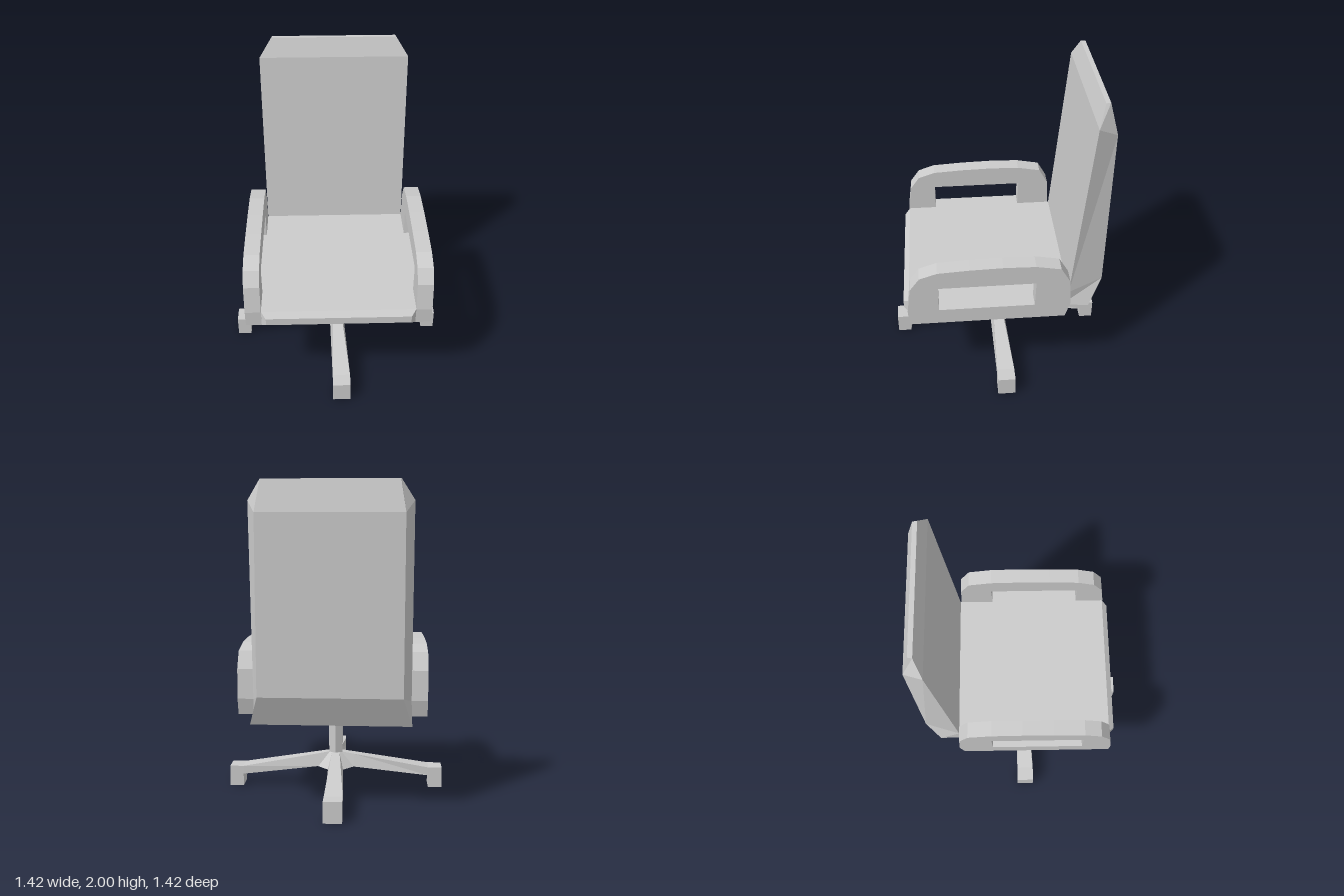
import * as THREE from 'three';

const material = new THREE.MeshStandardMaterial({ color: 0xcccccc, flatShading: true });

function part(name, geometry, parent) {
  const mesh = new THREE.Mesh(geometry, material);
  mesh.name = name;
  parent.add(mesh);
  return mesh;
}

// Joins rings of corners (counterclockwise seen from the last ring) and caps both ends.
function loft(rings) {
  const out = [];
  const tri = (a, b, c) => out.push(...a, ...b, ...c);
  const n = rings[0].length;
  for (let r = 0; r < rings.length - 1; r++) {
    for (let i = 0; i < n; i++) {
      const j = (i + 1) % n;
      tri(rings[r][i], rings[r][j], rings[r + 1][j]);
      tri(rings[r][i], rings[r + 1][j], rings[r + 1][i]);
    }
  }
  const first = rings[0], last = rings[rings.length - 1];
  for (let i = 1; i < n - 1; i++) {
    tri(first[0], first[i + 1], first[i]);
    tri(last[0], last[i], last[i + 1]);
  }
  const g = new THREE.BufferGeometry();
  g.setAttribute('position', new THREE.Float32BufferAttribute(out, 3));
  g.computeVertexNormals();
  return g;
}

// Four-cornered section facing +z: bottom and top heights with their half widths.
const section = (z, y0, w0, y1, w1, cx = 0) =>
  [[cx + w0, y0, z], [cx + w1, y1, z], [cx - w1, y1, z], [cx - w0, y0, z]];

// Horizontal row of the backrest: front edge and back edge, each [z, y, half width].
const row = ([zf, yf, wf], [zb, yb, wb]) =>
  [[wf, yf, zf], [wb, yb, zb], [-wb, yb, zb], [-wf, yf, zf]];

export function createModel() {
  const chair = new THREE.Group();
  chair.name = 'officeChair';

  // Seat cushion with a bevelled front
  part('seat', loft([
    section(-0.43, 0.575, 0.485, 0.685, 0.485),
    section(0.59, 0.575, 0.485, 0.685, 0.485),
    section(0.625, 0.605, 0.455, 0.655, 0.455),
  ]), chair);

  // Tall backrest, tapering upward with clipped corners
  part('backrest', loft([
    row([-0.39, 0.575, 0.485], [-0.565, 0.555, 0.485]),
    row([-0.43, 0.68, 0.485], [-0.65, 0.74, 0.43]),
    row([-0.53, 1.88, 0.485], [-0.65, 1.81, 0.43]),
    row([-0.572, 2.0, 0.405], [-0.6, 2.0, 0.4]),
  ]), chair);

  // Armrests: a rounded side profile with a window
  const points = (list) => list.map(([z, y]) => new THREE.Vector2(z, y));
  const profile = new THREE.Shape(points([
    [0.59, 0.575], [0.595, 0.685], [0.57, 0.865], [0.51, 0.95], [0.4, 0.988], [0.2, 1.0], [0, 1.005],
    [-0.2, 1.0], [-0.355, 0.97], [-0.415, 0.865], [-0.425, 0.68], [-0.395, 0.575],
  ]));
  profile.holes.push(new THREE.Path(points([
    [0.4, 0.685], [0.4, 0.865], [-0.205, 0.865], [-0.2, 0.685],
  ])));
  const armGeometry = new THREE.ExtrudeGeometry(profile, { depth: 0.1, bevelEnabled: false });
  armGeometry.rotateY(-Math.PI / 2);
  part('leftArmrest', armGeometry, chair).position.x = 0.585;
  part('rightArmrest', armGeometry, chair).position.x = -0.485;

  // Base: column, flared hub and four legs
  const base = new THREE.Group();
  base.name = 'base';
  chair.add(base);
  part('column', new THREE.CylinderGeometry(0.057, 0.05, 0.37, 6), base).position.y = 0.4;
  const hub = part('hub', new THREE.CylinderGeometry(0.05, 0.13, 0.095, 8), base);
  hub.position.y = 0.1825;
  hub.rotation.y = Math.PI / 8;

  const legGeometry = loft([
    section(0, 0.135, 0.05, 0.23, 0.025),
    section(0.05, 0.135, 0.05, 0.23, 0.025),
    section(0.12, 0.135, 0.05, 0.218, 0.03, 0.003),
    section(0.62, 0.08, 0.057, 0.135, 0.057, 0.018),
  ]);
  const footGeometry = new THREE.BoxGeometry(0.114, 0.135, 0.09);
  for (let i = 0; i < 4; i++) {
    const leg = new THREE.Group();
    leg.name = 'leg' + (i + 1);
    leg.rotation.y = i * Math.PI / 2;
    part('legArm', legGeometry, leg);
    part('foot', footGeometry, leg).position.set(0.018, 0.0675, 0.665);
    base.add(leg);
  }
  return chair;
}
